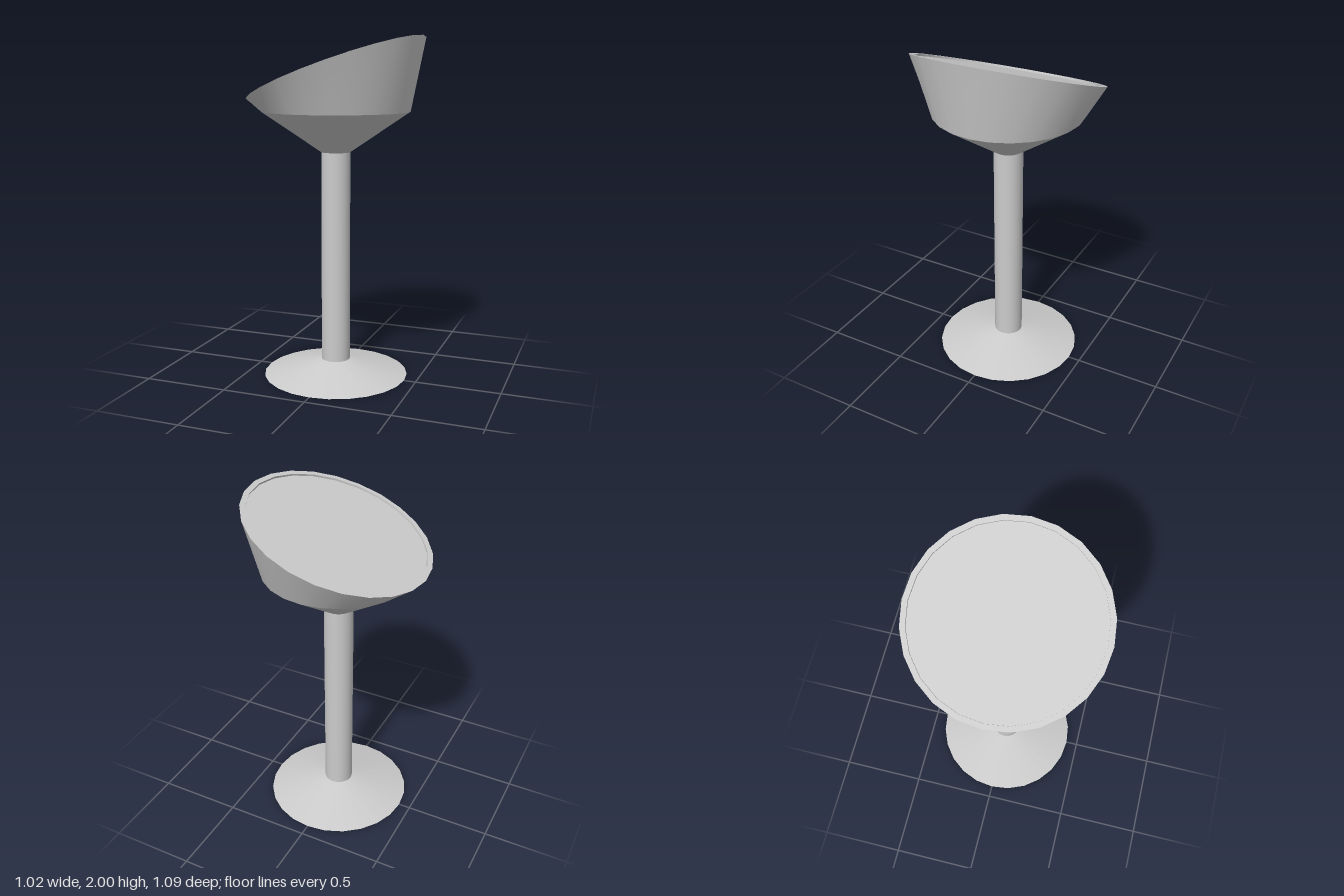
import * as THREE from 'three';

const SIDES = 24;
const TILT = THREE.MathUtils.degToRad(20);
const RIM_R = 0.5425, INNER_R = 0.512, RIM_Y = 1.8145, RECESS = 0.012;
const NECK_R = 0.085, BOWL_R = 0.43;
const FOOT_Y = 0.09, NECK_Y = 1.34, BOWL_Y = 1.575;

export function createModel() {
  const model = new THREE.Group();
  const material = new THREE.MeshStandardMaterial({ color: 0xcccccc });
  const wallMaterial = new THREE.MeshStandardMaterial({ color: 0xcccccc, side: THREE.DoubleSide });

  const add = (name, geometry, parent = model, mat = material) => {
    const mesh = new THREE.Mesh(geometry, mat);
    mesh.name = name;
    parent.add(mesh);
    return mesh;
  };
  // Round section between two heights
  const section = (rTop, rBottom, y0, y1, open = true) =>
    new THREE.CylinderGeometry(rTop, rBottom, y1 - y0, SIDES, 1, open).translate(0, (y0 + y1) / 2, 0);

  // Foot, stem and the cone under the bowl
  add('foot', section(NECK_R, BOWL_R, 0, FOOT_Y, false));
  add('stem', section(NECK_R, NECK_R, FOOT_Y, NECK_Y));
  add('bowlBase', section(BOWL_R, NECK_R, NECK_Y, BOWL_Y));

  // Bowl wall: level lower edge, upper edge tilted to one side
  const wall = section(RIM_R, BOWL_R, BOWL_Y, RIM_Y);
  const pos = wall.attributes.position;
  for (let i = 0; i < pos.count; i++) {
    if (pos.getY(i) < RIM_Y - 0.01) continue;
    const x = pos.getX(i);
    pos.setXY(i, x * Math.cos(TILT), RIM_Y + x * Math.sin(TILT));
  }
  // Normals across the seam come from a shared, welded ring
  wall.computeVertexNormals();
  const n = wall.attributes.normal, a = new THREE.Vector3(), b = new THREE.Vector3();
  for (const row of [0, SIDES + 1]) {
    a.fromBufferAttribute(n, row).add(b.fromBufferAttribute(n, row + SIDES)).normalize();
    n.setXYZ(row, a.x, a.y, a.z);
    n.setXYZ(row + SIDES, a.x, a.y, a.z);
  }
  add('bowlWall', wall);

  // Tilted top: flat rim, shallow step and inset surface
  const top = new THREE.Group();
  top.name = 'bowlTop';
  top.position.y = RIM_Y;
  top.rotation.z = TILT;
  model.add(top);
  add('rim', new THREE.RingGeometry(INNER_R, RIM_R, SIDES).rotateX(-Math.PI / 2), top);
  add('rimStep', section(INNER_R, INNER_R, -RECESS, 0), top, wallMaterial);
  add('insetSurface', new THREE.CircleGeometry(INNER_R, SIDES).rotateX(-Math.PI / 2).translate(0, -RECESS, 0), top);

  return model;
}
